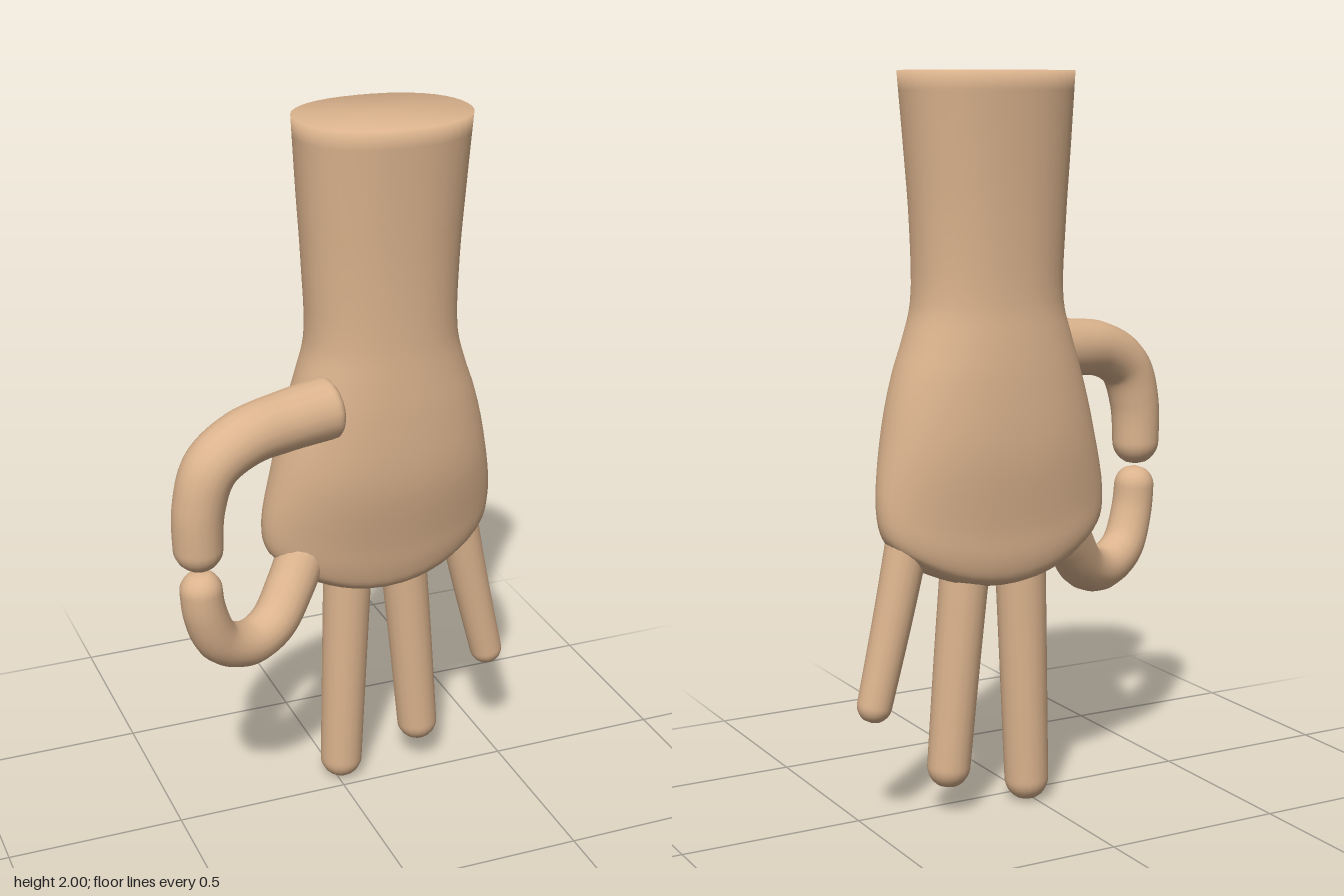
import * as THREE from 'three';
import { mergeVertices } from 'three/addons/utils/BufferGeometryUtils.js';

const skin = new THREE.MeshStandardMaterial({ color: 0xdcb48e });
skin.name = 'skin';

// Welds seams so the shading is smooth everywhere
function smooth(geometry) {
  geometry.deleteAttribute('uv');
  geometry.deleteAttribute('normal');
  const welded = mergeVertices(geometry, 1e-5);
  welded.computeVertexNormals();
  return welded;
}

// Tapered tube with rounded ends
function finger(name, points, rBase, rTip) {
  const curve = new THREE.CatmullRomCurve3(points.map(p => new THREE.Vector3(...p)));
  const segs = 90, sides = 18, length = curve.getLength();
  const geo = new THREE.TubeGeometry(curve, segs, 1, sides);
  const pos = geo.attributes.position, v = new THREE.Vector3();
  const round = (d, r) => (d < r ? Math.sqrt(Math.max(0, 1 - (1 - d / r) ** 2)) : 1);
  for (let i = 0; i <= segs; i++) {
    const t = i / segs, c = curve.getPointAt(t);
    const r = THREE.MathUtils.lerp(rBase, rTip, t)
      * round((1 - t) * length, rTip) * round(t * length, rBase * 0.4);
    for (let j = 0; j <= sides; j++) {
      const k = i * (sides + 1) + j;
      v.fromBufferAttribute(pos, k).sub(c).multiplyScalar(r).add(c);
      pos.setXYZ(k, v.x, v.y, v.z);
    }
  }
  const mesh = new THREE.Mesh(smooth(geo), skin);
  mesh.name = name;
  return mesh;
}

// Cross-sections: y, left x, right x, back z, front z, upward lift at the sides
const sections = [
  [2.0, -0.12, 0.36, -0.22, 0.15, 0],
  [1.8, -0.11, 0.345, -0.203, 0.133, 0],
  [1.6, -0.098, 0.332, -0.19, 0.12, 0],
  [1.4, -0.093, 0.332, -0.185, 0.115, 0],
  [1.3, -0.118, 0.36, -0.193, 0.118, 0],
  [1.2, -0.148, 0.395, -0.2, 0.12, 0],
  [1.0, -0.19, 0.435, -0.203, 0.112, 0.03],
  [0.8, -0.218, 0.457, -0.18, 0.068, 0.08],
  [0.71, -0.21, 0.448, -0.172, 0.048, 0.09],
  [0.66, -0.18, 0.42, -0.155, 0.028, 0.1],
  [0.64, -0.1, 0.34, -0.12, -0.01, 0.05],
];

// Forearm and palm lofted through the sections, closed at both ends
function armAndPalm() {
  const sides = 40, steps = 4, verts = [], index = [];
  const track = (a, b, c) => new THREE.CatmullRomCurve3(
    sections.map(s => new THREE.Vector3(s[a], s[b], s[c])), false, 'centripetal');
  const xs = track(0, 1, 2), zs = track(0, 3, 4);
  const rows = (sections.length - 1) * steps;
  for (let i = 0; i <= rows; i++) {
    const p = xs.getPoint(i / rows), q = zs.getPoint(i / rows);
    const n = Math.min(Math.floor(i / steps), sections.length - 2);
    const lift = THREE.MathUtils.lerp(sections[n][5], sections[n + 1][5], i / steps - n);
    for (let j = 0; j < sides; j++) {
      const a = (j / sides) * Math.PI * 2, c = Math.cos(a), s = Math.sin(a);
      const u = Math.sign(c) * Math.abs(c) ** 0.9, w = Math.sign(s) * Math.abs(s) ** 0.9;
      verts.push((p.y + p.z) / 2 + u * (p.z - p.y) / 2, p.x + lift * u * u,
        (q.y + q.z) / 2 + w * (q.z - q.y) / 2);
    }
  }
  const top = (rows + 1) * sides, bottom = top + 1;
  verts.push(0.12, 2, -0.035, 0.12, 0.637, -0.065);
  for (let j = 0; j < sides; j++) {
    const k = (j + 1) % sides, last = rows * sides;
    for (let i = 0; i < rows; i++) {
      const a = i * sides + j, b = i * sides + k;
      index.push(a, b, a + sides, b, b + sides, a + sides);
    }
    index.push(top, k, j, bottom, last + j, last + k);
  }
  const geo = new THREE.BufferGeometry();
  geo.setAttribute('position', new THREE.Float32BufferAttribute(verts, 3));
  geo.setIndex(index);
  geo.computeVertexNormals();
  const mesh = new THREE.Mesh(geo, skin);
  mesh.name = 'forearmAndPalm';
  return mesh;
}

export function createModel() {
  const group = new THREE.Group();
  group.name = 'hand';
  group.add(
    armAndPalm(),
    // Thumb and index finger curl toward each other
    finger('thumb', [[-0.045, 1.25, 0.065], [-0.2, 1.238, 0.092], [-0.33, 1.222, 0.125],
      [-0.425, 1.165, 0.145], [-0.462, 1.06, 0.148], [-0.466, 0.875, 0.145]], 0.087, 0.065),
    finger('indexFinger', [[-0.1, 0.8, -0.04], [-0.16, 0.7, 0], [-0.23, 0.618, 0.045],
      [-0.315, 0.594, 0.085], [-0.405, 0.638, 0.12], [-0.452, 0.74, 0.142],
      [-0.466, 0.87, 0.146]], 0.07, 0.057),
    // Straight fingers
    finger('middleFinger', [[0.04, 0.8, -0.065], [0.03, 0.5, -0.065], [0.015, 0.005, -0.065]], 0.071, 0.06),
    finger('ringFinger', [[0.195, 0.8, -0.065], [0.23, 0.45, -0.065], [0.264, 0.08, -0.065]], 0.069, 0.058),
    finger('littleFinger', [[0.365, 0.82, -0.06], [0.418, 0.58, -0.06], [0.487, 0.295, -0.06]], 0.059, 0.046),
  );
  return group;
}
